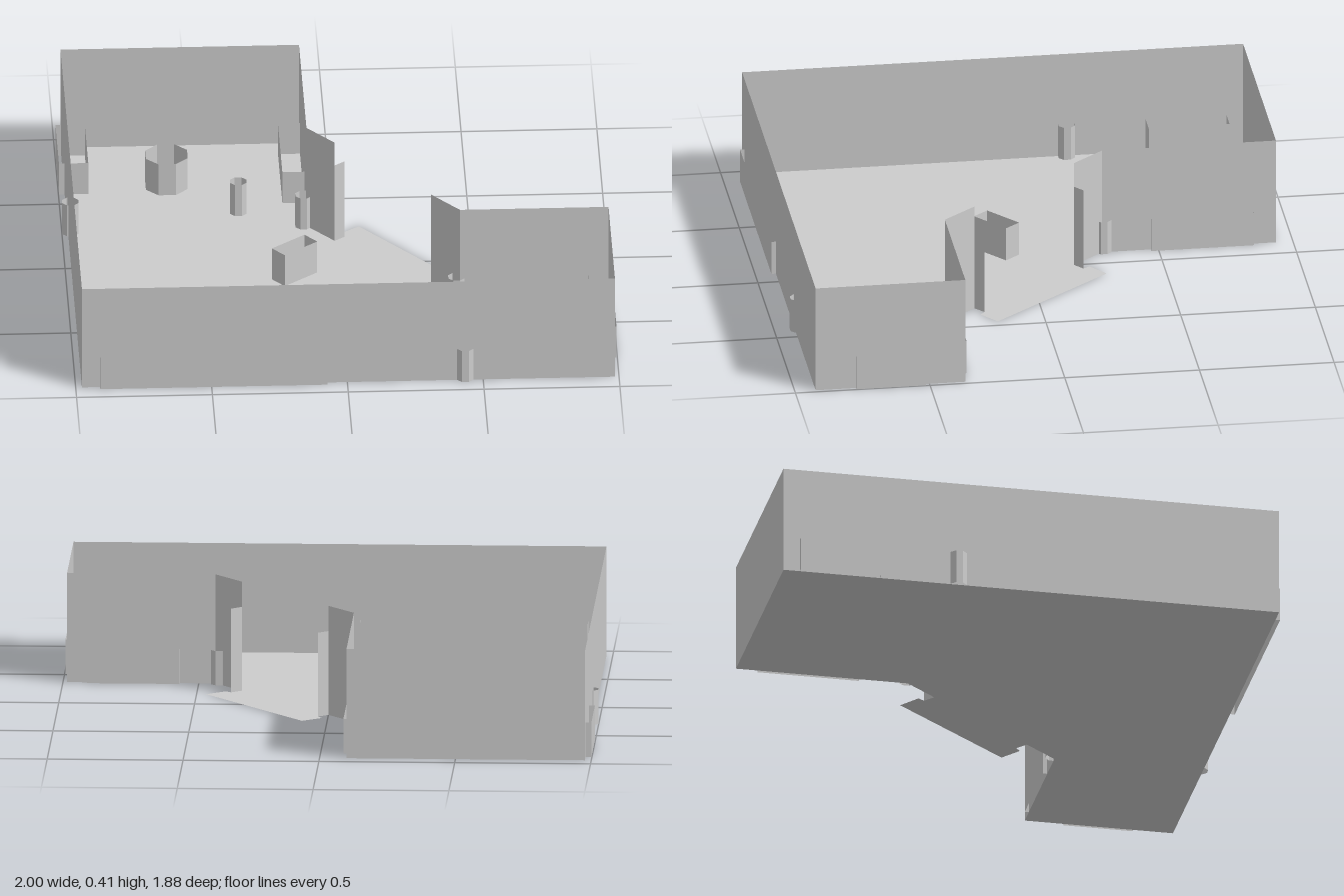
import * as THREE from 'three';

const WALL_H = 0.41, DOOR_H = 0.315, ITEM_H = 0.129;

// Upright open sheet following a plan path of [x, z] points
function sheet(points, height) {
  const pos = [];
  for (let i = 0; i < points.length - 1; i++) {
    const [ax, az] = points[i], [bx, bz] = points[i + 1];
    pos.push(ax, 0, az, bx, 0, bz, bx, height, bz);
    pos.push(ax, 0, az, bx, height, bz, ax, height, az);
  }
  const g = new THREE.BufferGeometry();
  g.setAttribute('position', new THREE.Float32BufferAttribute(pos, 3));
  g.computeVertexNormals();
  return g;
}

// Closed rectangular plan outline, optionally turned
function rectangle(cx, cz, w, d, angle = 0) {
  const c = Math.cos(angle), s = Math.sin(angle);
  return [[-1, -1], [-1, 1], [1, 1], [1, -1], [-1, -1]].map(([i, j]) => {
    const x = i * w / 2, z = j * d / 2;
    return [cx + x * c - z * s, cz + x * s + z * c];
  });
}

// Closed octagonal plan outline with flats facing the axes
function octagon(cx, cz, flat) {
  const r = flat / Math.cos(Math.PI / 8), pts = [];
  for (let i = 0; i <= 8; i++) {
    const a = Math.PI / 8 - i * Math.PI / 4;
    pts.push([cx + r * Math.cos(a), cz + r * Math.sin(a)]);
  }
  return pts;
}

export function createModel() {
  const group = new THREE.Group();
  const grey = new THREE.MeshStandardMaterial({ color: 0xcccccc, side: THREE.DoubleSide });
  grey.name = 'plainGrey';

  const add = (name, geometry) => {
    const mesh = new THREE.Mesh(geometry, grey);
    mesh.name = name;
    group.add(mesh);
  };

  // Main wall run, from one side of the diagonal doorway round to the other
  const walls = [
    [0.336, 0.243], [0.438, 0.367], [0.985, 0.367], [0.985, 0.923], [-0.977, 0.923],
    [-0.977, -0.937], [-0.099, -0.937], [-0.099, -0.292], [0, -0.173],
  ];
  add('walls', sheet(walls, WALL_H));

  // Lower returns at the doorway
  const jambA = [0.037, -0.203], jambB = [0.374, 0.211];
  add('doorJambBack', sheet([walls[walls.length - 1], jambA], DOOR_H));
  add('doorJambFront', sheet([jambB, walls[0]], DOOR_H));

  // Floor, running out through the doorway as a threshold
  const threshold = [[0.021, -0.228], [0.093, -0.282], [0.465, 0.174], [0.395, 0.229]];
  const outline = [...walls, jambA, ...threshold, jambB];
  const floor = new THREE.ShapeGeometry(new THREE.Shape(outline.map(([x, z]) => new THREE.Vector2(x, z))));
  floor.rotateX(Math.PI / 2);
  add('floor', floor);

  // Long open-topped units set through the walls: x0, x1, z0, z1
  const units = {
    frontUnit: [-0.91, -0.073, 0.86, 0.94],
    rightEndUnit: [0.9, 0.997, 0.514, 0.773],
    wingUnit: [0.57, 0.91, 0.352, 0.45],
    outerSideUnit: [-0.998, -0.89, -0.875, -0.575],
    innerSideUnit: [-0.18, -0.084, -0.854, -0.474],
  };
  for (const [name, [x0, x1, z0, z1]] of Object.entries(units)) {
    add(name, sheet(rectangle((x0 + x1) / 2, (z0 + z1) / 2, x1 - x0, z1 - z0), ITEM_H));
  }

  // Island box turned to match the diagonal
  add('islandBox', sheet(rectangle(-0.159, 0.092, 0.16, 0.071, Math.atan2(-0.634, 0.774)), ITEM_H));

  // Slim octagonal posts
  const posts = [[0.434, 0.911], [-0.969, -0.28], [-0.11, -0.297], [0.425, 0.363], [-0.345, -0.41]];
  posts.forEach(([x, z], i) => add('post' + (i + 1), sheet(octagon(x, z, 0.03), ITEM_H)));

  // Large octagonal tub
  add('octagonalTub', sheet(octagon(-0.6, -0.63, 0.077), ITEM_H));

  return group;
}
